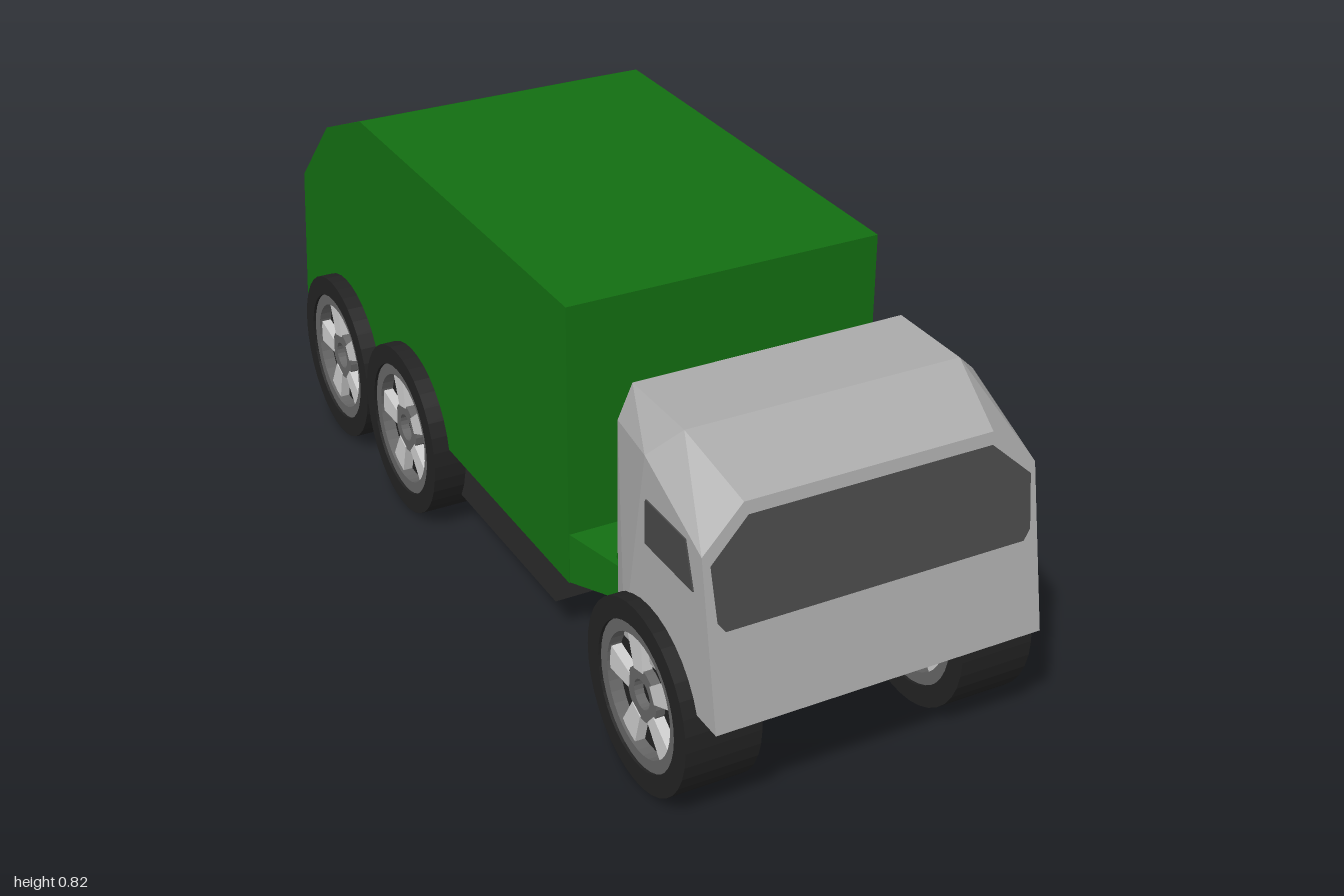
import * as THREE from 'three';
import { ConvexGeometry } from 'three/addons/geometries/ConvexGeometry.js';

const mat = (color, double) => new THREE.MeshStandardMaterial({
  color, flatShading: true, side: double ? THREE.DoubleSide : THREE.FrontSide });
const green = mat(0x136e12), cabGrey = mat(0xaaaaaa), glass = mat(0x484848, true);
const rubber = mat(0x222222), tankBlack = mat(0x2a2a2a), rimGrey = mat(0x666666), spokeGrey = mat(0xcccccc);

function add(parent, name, geometry, material) {
  const mesh = new THREE.Mesh(geometry, material);
  mesh.name = name;
  parent.add(mesh);
  return mesh;
}

const shapeOf = (pts) => new THREE.Shape(pts.map(([a, b]) => new THREE.Vector2(a, b)));

// Side profile of [z, y] points, extruded across x and centred
function acrossX(profile, halfWidth) {
  const g = new THREE.ExtrudeGeometry(shapeOf(profile), { depth: halfWidth * 2, bevelEnabled: false });
  return g.rotateY(-Math.PI / 2).translate(halfWidth, 0, 0);
}

// Convex solid from the points of one half, mirrored in x
function mirroredHull(points) {
  const all = points.flatMap(([x, y, z]) => [new THREE.Vector3(x, y, z), new THREE.Vector3(-x, y, z)]);
  return new ConvexGeometry(all);
}

// Closed ring of rectangular section around the x axis
function ring(inner, outer, halfWidth, sides) {
  const pts = [[inner, -halfWidth], [outer, -halfWidth], [outer, halfWidth], [inner, halfWidth], [inner, -halfWidth]];
  return new THREE.LatheGeometry(pts.map(([r, y]) => new THREE.Vector2(r, y)), sides).rotateZ(-Math.PI / 2);
}

function makeWheel() {
  const wheel = new THREE.Group();
  wheel.name = 'wheel';
  add(wheel, 'tyre', ring(0.147, 0.19, 0.078, 36), rubber);
  add(wheel, 'wheelDisc', new THREE.CylinderGeometry(0.147, 0.147, 0.09, 36).rotateZ(Math.PI / 2), rubber);
  add(wheel, 'rim', ring(0.122, 0.149, 0.072, 36), rimGrey);
  add(wheel, 'hub', ring(0.03, 0.055, 0.064, 20), rimGrey);
  // Five spokes that widen outwards, showing on both faces
  const spoke = acrossX([[-0.017, 0.048], [0.017, 0.048], [0.027, 0.124], [-0.027, 0.124]], 0.066);
  for (let i = 0; i < 5; i++) {
    add(wheel, 'spoke', spoke, spokeGrey).rotation.x = -0.23 + i * Math.PI * 2 / 5;
  }
  return wheel;
}

export function createModel() {
  const truck = new THREE.Group();
  truck.name = 'garbageTruck';

  // Container with sloping tail
  add(truck, 'container', acrossX([[0.415, 0.225], [0.415, 0.82], [-0.58, 0.82],
    [-0.79, 0.73], [-0.965, 0.55], [-1, 0.225]], 0.335), green);

  // Tapered neck and the thin plate behind the cab
  add(truck, 'neck', mirroredHull([[0.335, 0.225, 0.41], [0.335, 0.335, 0.41], [0.28, 0.315, 0.5],
    [0.28, 0.24, 0.5], [0.27, 0.31, 0.58], [0.27, 0.25, 0.58]]), green);
  add(truck, 'cabBackPlate', acrossX([[0.5, 0.3], [0.53, 0.39], [0.54, 0.5], [0.53, 0.665], [0.58, 0.67],
    [0.58, 0.66], [0.54, 0.655], [0.548, 0.5], [0.56, 0.4], [0.58, 0.4], [0.58, 0.3]], 0.28), green);

  // Faceted cab
  add(truck, 'cab', mirroredHull([
    [0.343, 0.257, 1], [0.343, 0.587, 0.939], [0.255, 0.665, 0.925],
    [0.343, 0.257, 0.66], [0.343, 0.68, 0.735], [0.285, 0.733, 0.77],
    [0.315, 0.257, 0.58], [0.315, 0.665, 0.58], [0.285, 0.733, 0.58]]), cabGrey);

  // Windscreen lies on the sloping nose
  const slope = Math.atan(0.184);
  const half = [[0.31, 0.445], [0.325, 0.465], [0.33, 0.57], [0.25, 0.643]];
  const outline = [...half, ...half.map(([x, y]) => [-x, y]).reverse()]
    .map(([x, y]) => [x, (y - 0.257) / Math.cos(slope)]);
  const screen = add(truck, 'windscreen', new THREE.ShapeGeometry(shapeOf(outline)), glass);
  screen.rotation.x = -slope;
  screen.position.set(0, 0.257, 1.004);

  for (const side of [1, -1]) {
    const sideWindow = add(truck, 'sideWindow', acrossX([[0.915, 0.505], [0.885, 0.595],
      [0.742, 0.595], [0.742, 0.505]], 0.003), glass);
    sideWindow.position.x = side * 0.343;

    // Tank under the container, chamfered at its inner top and front edges
    const tank = [];
    for (const [z, top] of [[0.28, 0.195], [0.225, 0.228], [-0.2, 0.228]]) {
      tank.push([0.04, 0.09, z], [0.3, 0.09, z], [0.3, top, z], [0.04, 0.195, z], [0.07, top, z]);
    }
    add(truck, 'tank', new ConvexGeometry(tank.map(([x, y, z]) => new THREE.Vector3(side * x, y, z))), tankBlack);

    for (const z of [0.755, -0.345, -0.725]) {
      const wheel = makeWheel();
      wheel.position.set(side * 0.293, 0.19, z);
      truck.add(wheel);
    }
  }
  return truck;
}
